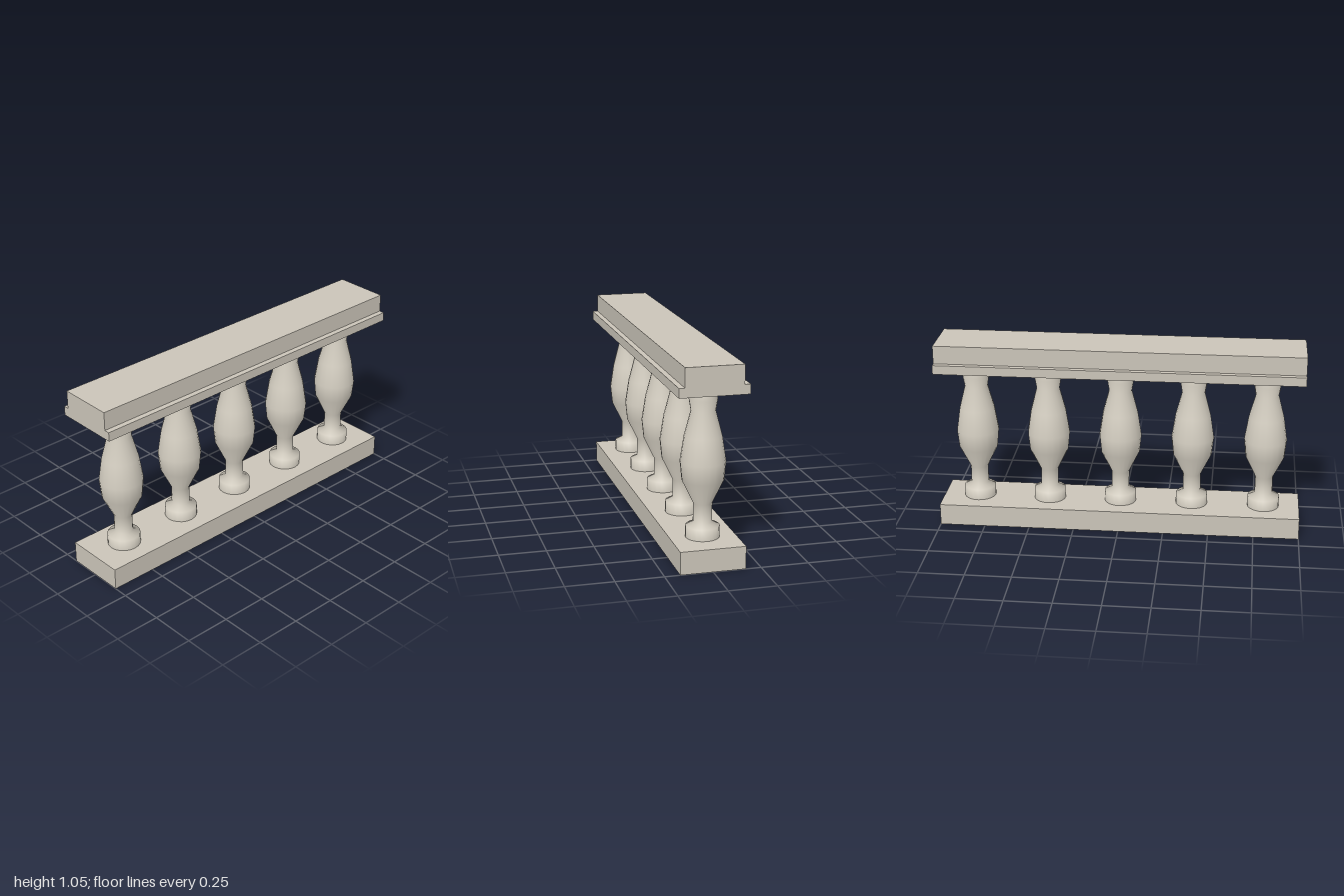
import * as THREE from 'three';

export function createModel() {
  const group = new THREE.Group();
  group.name = 'balustrade';

  const railStone = new THREE.MeshStandardMaterial({ color: 0xcac4b8 });
  railStone.name = 'rail stone';
  const balusterStone = new THREE.MeshStandardMaterial({ color: 0xd6d0c3 });
  balusterStone.name = 'baluster stone';

  // Full-length slab from y0 to y1
  function slab(name, y0, y1, depth) {
    const mesh = new THREE.Mesh(new THREE.BoxGeometry(2, y1 - y0, depth), railStone);
    mesh.position.y = (y0 + y1) / 2;
    mesh.name = name;
    group.add(mesh);
  }
  slab('plinth', 0, 0.12, 0.34);
  slab('railMoulding', 0.9, 0.95, 0.36);
  slab('handrail', 0.95, 1.05, 0.3);

  // Turned baluster: foot, neck, belly, collar
  const profile = [
    [0.088, 0.12], [0.088, 0.18], [0.049, 0.2], [0.049, 0.3], [0.107, 0.42],
    [0.117, 0.52], [0.097, 0.65], [0.063, 0.78], [0.073, 0.84], [0.059, 0.9],
  ].map(([r, y]) => new THREE.Vector2(r, y));
  const balusterGeometry = new THREE.LatheGeometry(profile, 20);

  for (let i = 0; i < 5; i++) {
    const baluster = new THREE.Mesh(balusterGeometry, balusterStone);
    baluster.position.x = -0.8 + i * 0.4;
    baluster.name = `baluster${i + 1}`;
    group.add(baluster);
  }
  return group;
}
